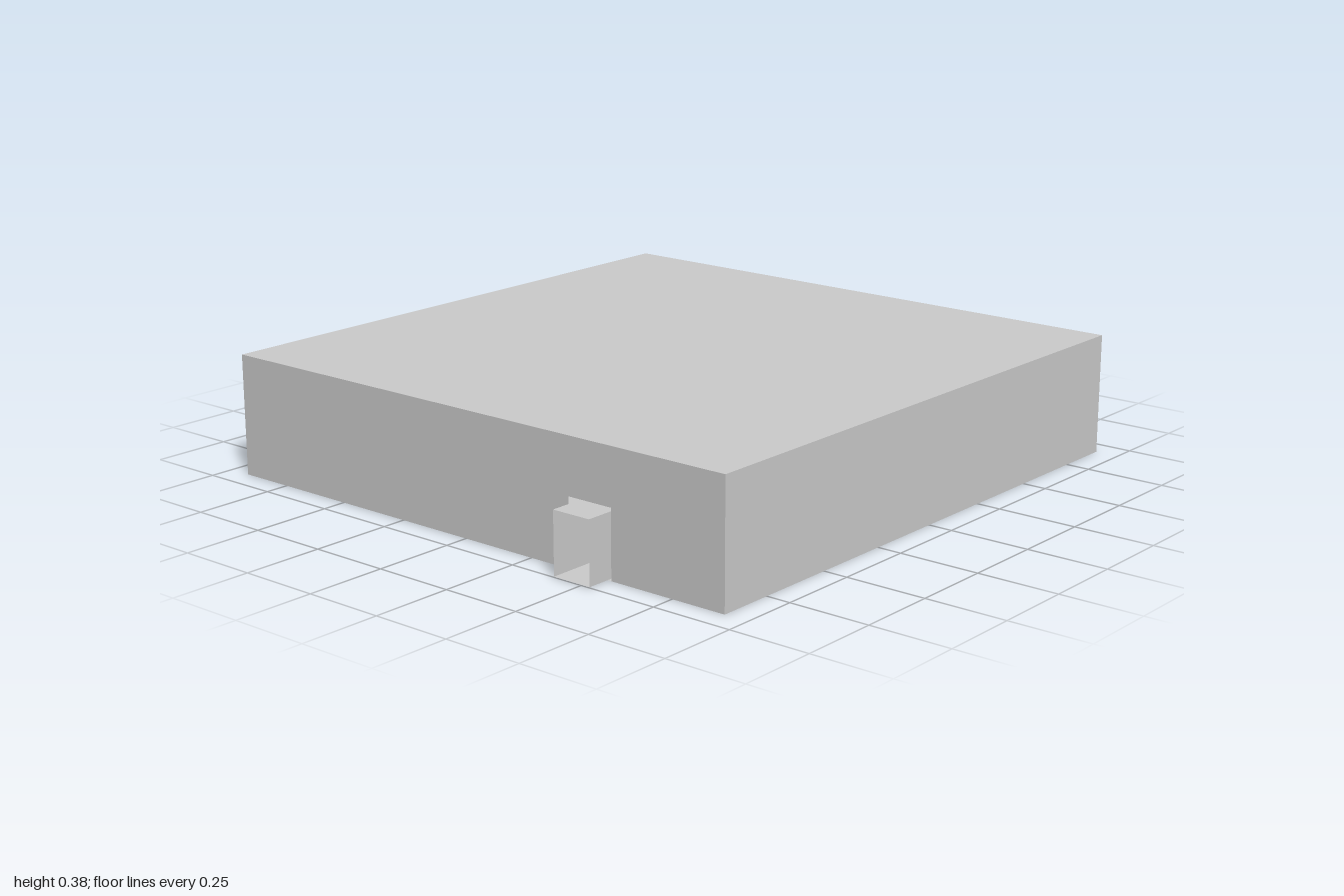
import * as THREE from 'three';

const HALF = 0.925, HEIGHT = 0.375;
const material = new THREE.MeshStandardMaterial({ color: 0xcccccc, side: THREE.DoubleSide, flatShading: true });

// Flat rectangle, placed and turned
function panel(name, w, h, [x, y, z], rx = 0, ry = 0) {
  const mesh = new THREE.Mesh(new THREE.PlaneGeometry(w, h), material);
  mesh.name = name;
  mesh.position.set(x, y, z);
  mesh.rotation.set(rx, ry, 0);
  return mesh;
}

// Side wall with a doorway notch, and the open-ended square duct passing through it
function createSide() {
  const side = new THREE.Group();
  const q = Math.PI / 2;

  // Shape x runs along -z once turned to face +x
  const outline = new THREE.Shape([
    [-HALF, 0], [0.39, 0], [0.39, 0.205], [0.54, 0.205], [0.54, 0],
    [HALF, 0], [HALF, HEIGHT], [-HALF, HEIGHT],
  ].map(([x, y]) => new THREE.Vector2(x, y)));
  const wall = new THREE.Mesh(new THREE.ShapeGeometry(outline), material);
  wall.name = 'sideWall';
  wall.rotation.y = q;
  wall.position.x = HALF;
  side.add(wall);

  const duct = new THREE.Group();
  duct.name = 'duct';
  const near = -0.403, far = -0.53, top = 0.19, base = 0.002;
  const length = 0.15, x = 1 - length / 2, z = (near + far) / 2;
  const width = near - far, tall = top - base, y = (top + base) / 2;
  duct.add(
    panel('ductRoof', length, width, [x, top, z], -q),
    panel('ductFloor', length, width, [x, base, z], q),
    panel('ductFrontWall', length, tall, [x, y, near]),
    panel('ductBackWall', length, tall, [x, y, far], 0, Math.PI),
  );
  side.add(duct);
  return side;
}

export function createModel() {
  const model = new THREE.Group();
  model.name = 'ductedBox';
  const q = Math.PI / 2, size = HALF * 2;

  // Hollow flat box
  model.add(
    panel('roof', size, size, [0, HEIGHT, 0], -q),
    panel('floor', size, size, [0, 0, 0], q),
    panel('frontWall', size, HEIGHT, [0, HEIGHT / 2, HALF]),
    panel('backWall', size, HEIGHT, [0, HEIGHT / 2, -HALF], 0, Math.PI),
  );

  // The two sides are the same piece turned half a circle
  ['leftSide', 'rightSide'].forEach((name, i) => {
    const side = createSide();
    side.name = name;
    side.rotation.y = i * Math.PI;
    model.add(side);
  });
  return model;
}
